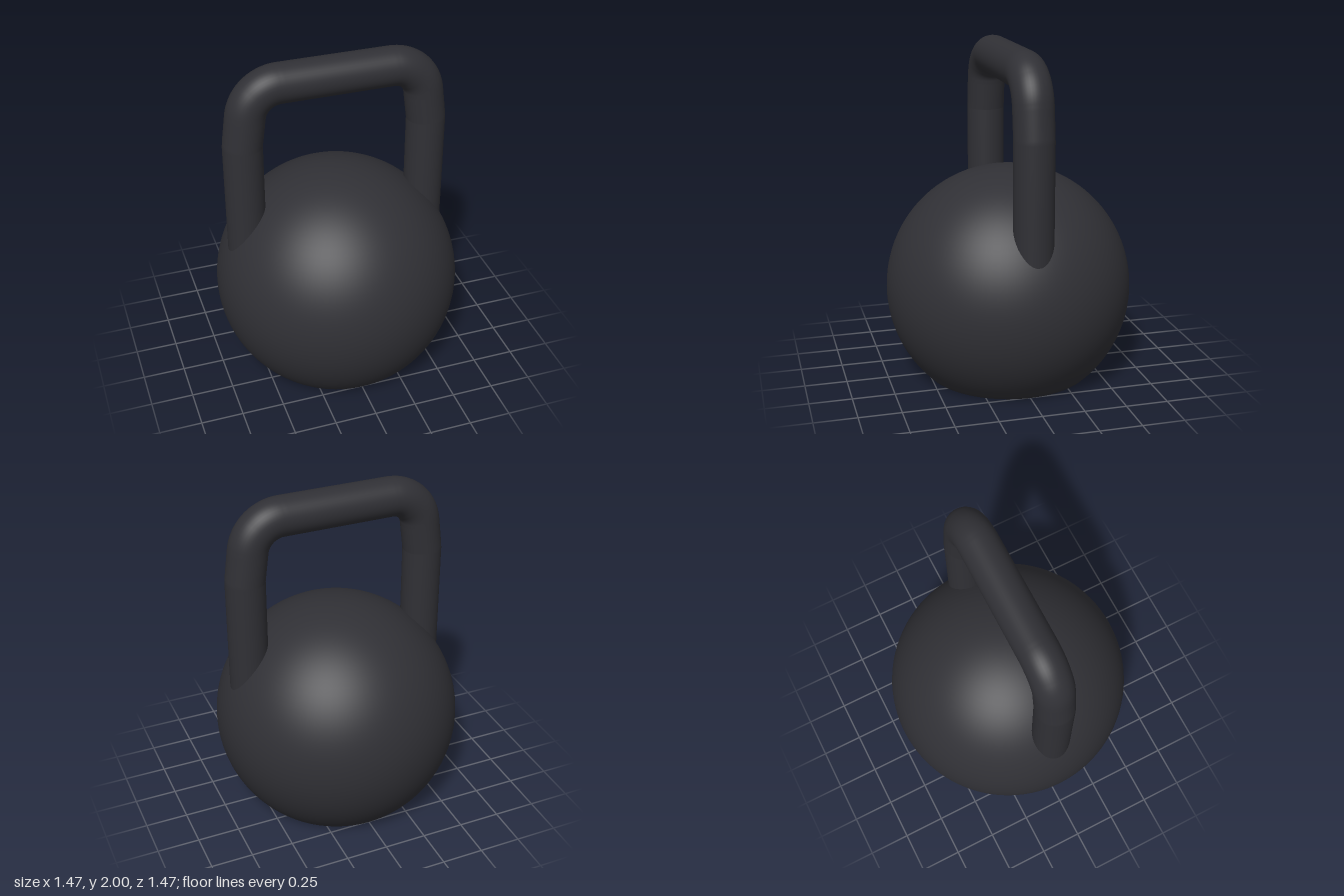
import * as THREE from 'three';

const BALL_RADIUS = 0.735;
const BALL_Y = 0.535;
const TUBE_RADIUS = 0.115;

// Round weight with a flat base
function makeBall(material) {
  const profile = [new THREE.Vector2(0, 0)];
  const start = -Math.asin(BALL_Y / BALL_RADIUS);
  const steps = 40;
  for (let i = 0; i <= steps; i++) {
    const a = THREE.MathUtils.lerp(start, Math.PI / 2, i / steps);
    profile.push(new THREE.Vector2(
      i === steps ? 0 : BALL_RADIUS * Math.cos(a),
      i === 0 ? 0 : BALL_Y + BALL_RADIUS * Math.sin(a)
    ));
  }
  const ball = new THREE.Mesh(new THREE.LatheGeometry(profile, 96), material);
  ball.name = 'ballWeight';
  return ball;
}

// Handle: upright legs, a slight inward lean, rounded corners, a straight grip
function makeHandle(material) {
  const half = [new THREE.Vector3(0.552, 0.75, 0), new THREE.Vector3(0.552, 1.53, 0)];
  const bend = 0.2;
  const steps = 16;
  for (let i = 0; i <= steps; i++) {
    const a = THREE.MathUtils.lerp(0.13, Math.PI / 2, i / steps);
    half.push(new THREE.Vector3(0.33 + bend * Math.cos(a), 1.685 + bend * Math.sin(a), 0));
  }
  const mirrored = half.map((p) => new THREE.Vector3(-p.x, p.y, 0)).reverse();
  const points = [...half, ...mirrored];

  const path = new THREE.CurvePath();
  for (let i = 1; i < points.length; i++) {
    path.add(new THREE.LineCurve3(points[i - 1], points[i]));
  }
  const handle = new THREE.Mesh(new THREE.TubeGeometry(path, 200, TUBE_RADIUS, 40), material);
  handle.name = 'handle';
  return handle;
}

export function createModel() {
  const iron = new THREE.MeshStandardMaterial({ color: 0x303035 });
  iron.name = 'dark iron';

  const model = new THREE.Group();
  model.name = 'kettlebell';
  model.add(makeBall(iron), makeHandle(iron));
  return model;
}
